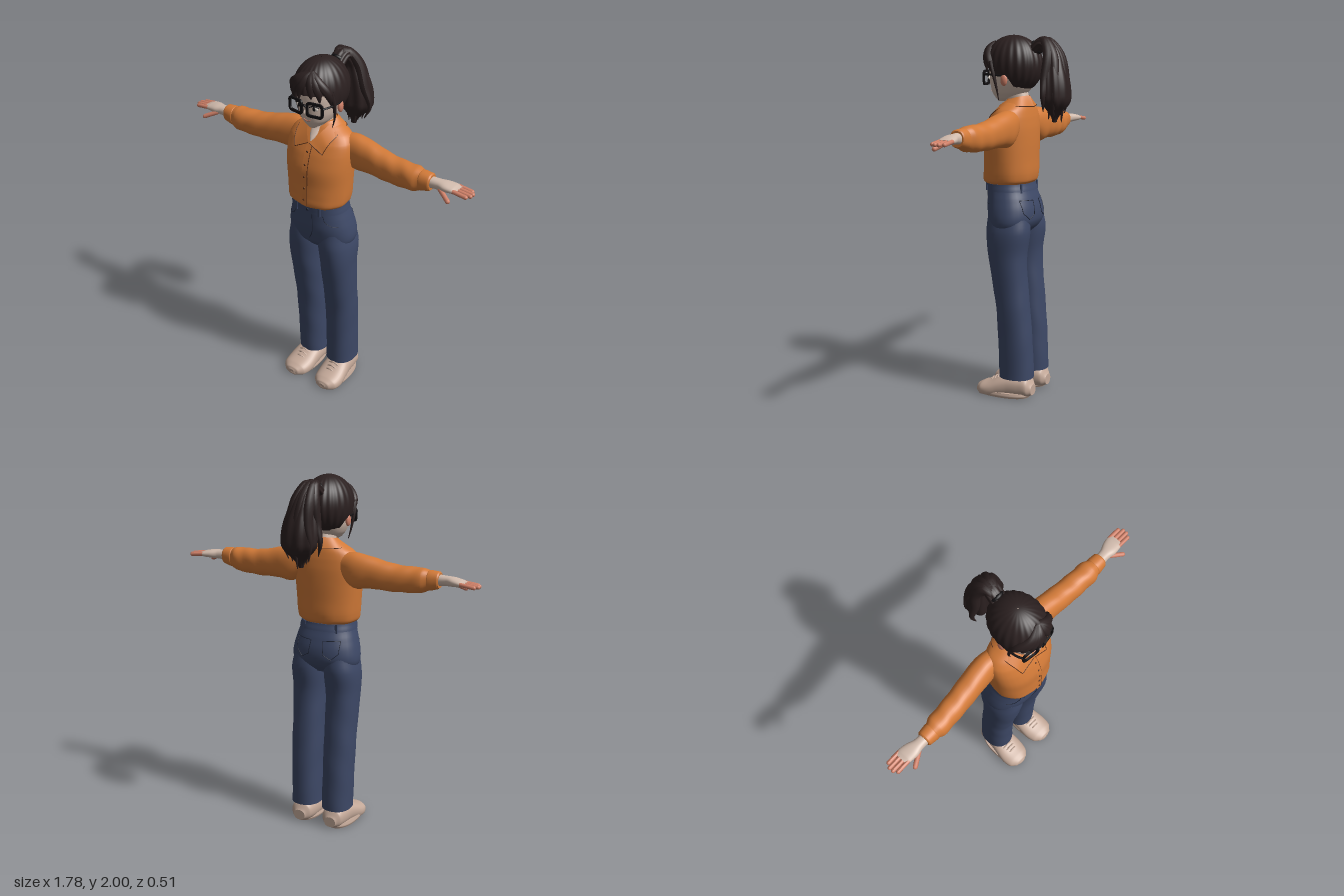
import * as THREE from 'three';
import { ParametricGeometry } from 'three/addons/geometries/ParametricGeometry.js';

const V = (x, y, z) => new THREE.Vector3(x, y, z);
const N = 2.25; // roundness of the cross-sections

// Smoothly interpolated cross-section [t, c1, c2, r1, r2] at position t
function at(rows, t) {
  let i = 0;
  while (i < rows.length - 2 && t > rows[i + 1][0]) i++;
  const b = rows[i], c = rows[i + 1], a = rows[i - 1] || b, d = rows[i + 2] || c;
  const s = (t - b[0]) / (c[0] - b[0]);
  return b.map((p, k) => k === 0 ? t : 0.5 * (2 * p + (c[k] - a[k]) * s
    + (2 * a[k] - 5 * p + 4 * c[k] - d[k]) * s * s + (3 * p - a[k] - 3 * c[k] + d[k]) * s ** 3));
}

// Closed body lofted along an axis through superellipse sections
function loft(rows, axis = 'y', fold = () => 0, seg = 36, sub = 5) {
  const pos = [], idx = [], steps = (rows.length - 1) * sub;
  const put = (t, p, q) => pos.push(...(axis === 'y' ? [p, t, q] : axis === 'x' ? [t, q, p] : [q, p, t]));
  const sp = v => Math.sign(v) * Math.abs(v) ** (2 / N);
  const ring = (r, i) => {
    for (let j = 0; j < seg; j++) {
      const a = j / seg * Math.PI * 2, f = 1 + fold(r[0], a);
      put(r[0], r[1] + r[3] * f * sp(Math.cos(a)), r[2] + r[4] * f * sp(Math.sin(a)));
    }
  };
  for (let i = 0; i <= steps; i++) {
    const k = Math.min(Math.floor(i / sub), rows.length - 2), s = i / sub - k;
    ring(at(rows, rows[k][0] + (rows[k + 1][0] - rows[k][0]) * s));
    if (i < steps) for (let j = 0; j < seg; j++) {
      const a = i * seg + j, b = i * seg + (j + 1) % seg;
      idx.push(a, a + seg, b, b, a + seg, b + seg);
    }
  }
  for (const end of [0, 1]) {
    const r = rows[end ? rows.length - 1 : 0], base = pos.length / 3;
    ring(r);
    put(r[0], r[1], r[2]);
    for (let j = 0; j < seg; j++) {
      const a = base + j, b = base + (j + 1) % seg;
      idx.push(...(end ? [a, base + seg, b] : [a, b, base + seg]));
    }
  }
  const g = new THREE.BufferGeometry();
  g.setAttribute('position', new THREE.Float32BufferAttribute(pos, 3));
  g.setIndex(idx);
  g.computeVertexNormals();
  return g;
}

// Point on the front (1) or back (-1) of a vertical loft
function on(rows, x, y, side = 1, lift = 0) {
  const [, cx, cz, rx, rz] = at(rows, y);
  const k = Math.max(0, 1 - Math.abs((x - cx) / rx) ** N) ** (1 / N);
  return V(x, y, cz + side * (rz * k + lift));
}
const curve = pts => new THREE.CatmullRomCurve3(pts);
const tube = (pts, r, n = 24) => new THREE.TubeGeometry(curve(pts), n, r, 6);

// Lock of hair: a tube whose radius follows a rule, optionally widened in x
function lock(pts, radius, wide = 1, ripple = 0, n = 24, m = 10) {
  const c = curve(pts), g = new THREE.TubeGeometry(c, n, 1, m), p = g.attributes.position;
  for (let i = 0; i <= n; i++) {
    const o = c.getPointAt(i / n);
    for (let j = 0; j <= m; j++) {
      const k = i * (m + 1) + j, v = V().fromBufferAttribute(p, k).sub(o);
      v.multiplyScalar(radius(i / n) * (1 + ripple * Math.cos(j / m * Math.PI * 2 * 9)));
      p.setXYZ(k, o.x + v.x * wide, o.y + v.y, o.z + v.z);
    }
  }
  g.computeVertexNormals();
  return g;
}
// Thin cloth band between two edge curves
function strip(a, b, n = 24) {
  const A = curve(a), B = curve(b);
  return new ParametricGeometry((u, v, o) => o.copy(A.getPoint(u)).lerp(B.getPoint(u), v), n, 2);
}
function ball(x, y, z, a, b, c) {
  return new THREE.SphereGeometry(1, 20, 14).scale(a, b, c).translate(x, y, z);
}
function finger(a, b, r) {
  const d = b.clone().sub(a), g = new THREE.CapsuleGeometry(r, d.length(), 5, 10);
  g.applyQuaternion(new THREE.Quaternion().setFromUnitVectors(V(0, 1, 0), d.normalize()));
  return g.translate((a.x + b.x) / 2, (a.y + b.y) / 2, (a.z + b.z) / 2);
}
function mirrored(geo) {
  const g = geo.clone().scale(-1, 1, 1);
  const ix = g.index ? [...g.index.array] : [...Array(g.attributes.position.count).keys()];
  for (let i = 0; i < ix.length; i += 3) [ix[i], ix[i + 1]] = [ix[i + 1], ix[i]];
  g.setIndex(ix);
  g.computeVertexNormals();
  return g;
}

export function createModel() {
  const model = new THREE.Group(), M = {};
  const colours = { skin: 0xd0baac, blush: 0xcf8068, shirt: 0xd27a38, shirtSeam: 0x5a3018, denim: 0x3d4866,
    denimSeam: 0x1d2333, hair: 0x2b2020, black: 0x121012, shoe: 0xc4a999, eyeWhite: 0xeee4da };
  for (const [name, color] of Object.entries(colours)) {
    M[name] = new THREE.MeshStandardMaterial({ color, side: THREE.DoubleSide });
    M[name].name = name;
  }
  const add = (name, geo, mat) => {
    const m = new THREE.Mesh(geo, M[mat]);
    m.name = name;
    model.add(m);
  };
  const both = (name, geo, mat) => {
    add(name + 'Left', geo, mat);
    add(name + 'Right', mirrored(geo), mat);
  };

  // Trousers
  const hips = [[0.92, 0, 0.08, 0.14, 0.08], [0.96, 0, 0.078, 0.186, 0.116], [1.0, 0, 0.075, 0.197, 0.132],
    [1.06, 0, 0.081, 0.189, 0.137], [1.12, 0, 0.09, 0.173, 0.13], [1.17, 0, 0.1, 0.158, 0.122], [1.2, 0, 0.105, 0.152, 0.118]];
  add('hips', loft(hips), 'denim');
  both('trouserLeg', loft([[0.11, 0.097, 0.028, 0.085, 0.097], [0.3, 0.1, 0.033, 0.085, 0.096], [0.5, 0.102, 0.045, 0.088, 0.093],
    [0.65, 0.103, 0.063, 0.089, 0.098], [0.8, 0.104, 0.078, 0.093, 0.107], [0.93, 0.1, 0.076, 0.097, 0.124],
    [1.03, 0.09, 0.078, 0.09, 0.115]], 'y', (t, a) => 0.008 * Math.sin(t * 30 + 2 * a)), 'denim');
  add('waistband', loft([[1.16, 0, 0.098, 0.164, 0.128], [1.2, 0, 0.105, 0.157, 0.123]]), 'denim');
  const seamOn = (rows, pts, side, r = 0.0018) => tube(pts.map(([x, y]) => on(rows, x, y, side, 0.001)), r);
  add('flySeam', seamOn(hips, [[0.03, 1.155], [0.03, 1.08], [0.022, 1.03], [0.001, 0.99]], 1), 'denimSeam');
  both('frontPocketSeam', seamOn(hips, [[0.09, 1.155], [0.1, 1.12], [0.13, 1.095], [0.16, 1.09]], 1), 'denimSeam');
  const pocket = [[0.035, 1.11], [0.13, 1.115], [0.128, 1.045], [0.088, 1.01], [0.045, 1.035], [0.035, 1.11]];
  pocket.slice(1).forEach((p, i) => {
    const q = pocket[i], mid = [(p[0] + q[0]) / 2, (p[1] + q[1]) / 2];
    both('backPocketSeam', seamOn(hips, [q, mid, p], -1), 'denimSeam');
  });
  for (const [x, side] of [[0.075, 1], [0.1, -1]]) {
    const p = on(hips, x, 1.178, side, 0.008);
    both('beltLoop', new THREE.BoxGeometry(0.014, 0.05, 0.008).translate(p.x, p.y, p.z), 'denim');
  }
  add('waistButton', ball(0.005, 1.18, 0.228, 0.008, 0.008, 0.005), 'denimSeam');

  // Shoes
  const shoe = loft([[-0.075, 0.045, 0.1, 0.03, 0.035], [-0.05, 0.06, 0.1, 0.055, 0.06], [0, 0.06, 0.1, 0.065, 0.068],
    [0.06, 0.06, 0.102, 0.066, 0.074], [0.11, 0.05, 0.106, 0.06, 0.08], [0.17, 0.03, 0.11, 0.053, 0.084],
    [0.22, 0.025, 0.112, 0.042, 0.074], [0.25, 0.025, 0.112, 0.026, 0.045], [0.258, 0.025, 0.112, 0.012, 0.02]], 'z');
  const sp = shoe.attributes.position;
  for (let i = 0; i < sp.count; i++) sp.setY(i, Math.max(sp.getY(i), 0.004));
  shoe.computeVertexNormals();
  both('shoe', shoe, 'shoe');
  both('sole', loft([[0, 0.108, 0.093, 0.08, 0.16], [0.012, 0.108, 0.093, 0.086, 0.167], [0.028, 0.108, 0.093, 0.083, 0.164]], 'y', (t, a) => -0.05 * (1 - Math.sin(a))), 'shoe');
  for (let i = 0; i < 3; i++) {
    const z = 0.125 + i * 0.02, y = 0.112 - i * 0.012;
    both('lace', tube([V(0.07, y - 0.018, z), V(0.107, y, z + 0.004), V(0.145, y - 0.018, z)], 0.005), 'shoe');
  }

  // Shirt
  const torso = [[1.193, 0, 0.108, 0.148, 0.118], [1.215, 0, 0.108, 0.17, 0.137], [1.26, 0, 0.104, 0.178, 0.14],
    [1.33, 0, 0.102, 0.184, 0.138], [1.42, 0, 0.1, 0.191, 0.137], [1.5, 0, 0.09, 0.194, 0.125], [1.56, 0, 0.08, 0.187, 0.108],
    [1.6, 0, 0.07, 0.16, 0.09], [1.635, 0, 0.062, 0.105, 0.072], [1.66, 0, 0.06, 0.068, 0.055]];
  add('shirtBody', loft(torso, 'y', (t, a) => 0.012 * Math.sin(a * 9) * Math.max(0, 1 - (t - 1.2) / 0.12)), 'shirt');
  both('sleeve', loft([[0.1, 0.05, 1.53, 0.055, 0.065], [0.19, 0.042, 1.507, 0.064, 0.096], [0.28, 0.048, 1.502, 0.064, 0.085],
    [0.4, 0.058, 1.487, 0.062, 0.074], [0.5, 0.066, 1.485, 0.06, 0.069], [0.57, 0.071, 1.488, 0.058, 0.066],
    [0.61, 0.073, 1.491, 0.044, 0.05]], 'x', (t, a) => 0.035 * Math.sin(t * 60 + 2 * a) * Math.max(0, t - 0.15) * 2), 'shirt');
  both('cuff', loft([[0.598, 0.073, 1.492, 0.042, 0.05], [0.606, 0.073, 1.492, 0.047, 0.054], [0.656, 0.074, 1.497, 0.042, 0.046],
    [0.663, 0.074, 1.497, 0.037, 0.04]], 'x'), 'shirt');
  const ys = [1.215, 1.28, 1.35, 1.42, 1.5, 1.56];
  const edge = (x, lift) => ys.map(y => on(torso, x, y, 1, lift));
  add('placket', strip(edge(-0.016, 0.006), edge(0.016, 0.006)), 'shirt');
  add('placketSeam', tube(edge(0.017, 0.004), 0.002), 'shirtSeam');
  for (let i = 0; i < 5; i++) {
    const p = on(torso, 0, 1.25 + i * 0.067, 1, 0.008);
    add('button', ball(p.x, p.y, p.z, 0.006, 0.006, 0.003), 'shirtSeam');
  }
  const collarTop = [V(0.004, 1.565, 0.202), V(0.045, 1.62, 0.155), V(0.066, 1.657, 0.085), V(0.06, 1.672, 0.03), V(0, 1.677, -0.008)];
  const collarEdge = [V(0.088, 1.522, 0.207), V(0.105, 1.57, 0.178), V(0.122, 1.612, 0.11), V(0.1, 1.622, 0.005), V(0, 1.617, -0.034)];
  both('collar', strip(collarTop, collarEdge), 'shirt');
  both('collarSeam', tube(collarEdge, 0.002), 'shirtSeam');
  both('collarFrontSeam', tube([collarTop[0], collarTop[0].clone().lerp(collarEdge[0], 0.5), collarEdge[0]], 0.002), 'shirtSeam');

  // Hands
  both('palm', loft([[0.64, 0.074, 1.498, 0.03, 0.03], [0.7, 0.072, 1.5, 0.031, 0.026], [0.74, 0.068, 1.5, 0.042, 0.024],
    [0.785, 0.062, 1.498, 0.044, 0.018], [0.81, 0.062, 1.497, 0.038, 0.01]], 'x'), 'skin');
  [[0.028, 0.862], [0.05, 0.877], [0.072, 0.876], [0.094, 0.862]].forEach(([z, x]) =>
    both('finger', finger(V(0.79, 1.498, z), V(x, 1.49, z), 0.011), 'blush'));
  both('thumb', finger(V(0.72, 1.488, 0.095), V(0.785, 1.458, 0.13), 0.0125), 'blush');

  // Neck, head and face
  add('neck', loft([[1.57, 0, 0.1, 0.018, 0.088], [1.6, 0, 0.085, 0.043, 0.083], [1.64, 0, 0.065, 0.052, 0.07],
    [1.71, 0, 0.07, 0.05, 0.055]]), 'skin');
  const head = [[1.643, 0, 0.16, 0.02, 0.022], [1.66, 0, 0.137, 0.05, 0.056], [1.69, 0, 0.112, 0.079, 0.098],
    [1.73, 0, 0.1, 0.098, 0.118], [1.78, 0, 0.092, 0.108, 0.13], [1.83, 0, 0.09, 0.111, 0.133],
    [1.9, 0, 0.09, 0.1, 0.12], [1.96, 0, 0.09, 0.05, 0.06]];
  add('head', loft(head), 'skin');
  add('nose', ball(0, 1.745, 0.218, 0.013, 0.016, 0.02), 'skin');
  add('mouth', tube([[-0.024, 1.702], [0, 1.695], [0.024, 1.702]].map(([x, y]) => on(head, x, y, 1, 0.001)), 0.003), 'blush');
  both('ear', ball(0.12, 1.762, 0.09, 0.013, 0.032, 0.02), 'blush');
  const e = on(head, 0.046, 1.772, 1);
  both('eyeWhite', ball(e.x, e.y, e.z - 0.002, 0.022, 0.013, 0.006), 'eyeWhite');
  both('iris', ball(e.x, e.y, e.z + 0.001, 0.01, 0.012, 0.006), 'black');
  both('eyelid', tube([V(0.02, 1.778, e.z + 0.008), V(0.046, 1.788, e.z + 0.004), V(0.072, 1.78, e.z - 0.006)], 0.003), 'black');

  // Glasses
  const rim = (w, h, r) => new THREE.Shape().moveTo(-w + r, -h).lineTo(w - r, -h).quadraticCurveTo(w, -h, w, -h + r).lineTo(w, h - r)
    .quadraticCurveTo(w, h, w - r, h).lineTo(-w + r, h).quadraticCurveTo(-w, h, -w, h - r).lineTo(-w, -h + r).quadraticCurveTo(-w, -h, -w + r, -h);
  const frame = rim(0.049, 0.041, 0.024);
  frame.holes.push(rim(0.037, 0.028, 0.018));
  both('glassesRim', new THREE.ExtrudeGeometry(frame, { depth: 0.01, bevelEnabled: false }).rotateY(0.16).translate(0.058, 1.772, 0.222), 'black');
  add('glassesBridge', tube([V(-0.014, 1.785, 0.236), V(0, 1.79, 0.238), V(0.014, 1.785, 0.236)], 0.006), 'black');
  both('glassesTemple', tube([V(0.105, 1.79, 0.222), V(0.119, 1.79, 0.18), V(0.122, 1.785, 0.09)], 0.006), 'black');

  // Hair cap with a hairline that is high in front and low at the nape
  const S = THREE.MathUtils.smoothstep;
  add('hairCap', new ParametricGeometry((u, v, o) => {
    const th = (u * 2 - 1) * Math.PI, d = Math.abs(th) / Math.PI;
    const low = 1.85 - 0.06 * S(d, 0.25, 0.42) - 0.075 * S(d, 0.5, 0.65);
    const p = (0.01 + 0.99 * v) * Math.acos((low - 1.84) / 0.16), k = Math.sin(p) * (1 + 0.014 * Math.sin(th * 22) * Math.sin(p));
    o.set(0.135 * k * Math.sin(th), 1.84 + 0.16 * Math.cos(p), 0.088 + 0.163 * k * Math.cos(th));
  }, 144, 24), 'hair');
  // Fringe swept from a parting, and side locks
  const scalp = (x, y) => V(x, y, 0.083 + 0.163 * Math.sqrt(Math.max(0.05, 1 - (x / 0.135) ** 2 - ((y - 1.84) / 0.16) ** 2)));
  for (const [x, y] of [[-0.115, 1.77], [-0.09, 1.8], [-0.06, 1.815], [-0.025, 1.825], [0.045, 1.835], [0.08, 1.815], [0.112, 1.775]])
    add('fringeLock', lock([scalp(0.02, 1.955), scalp(0.02 + (x - 0.02) * 0.5, 1.915), scalp(x * 0.95, 1.86), scalp(x, y)],
      t => 0.003 + 0.022 * Math.sin(Math.PI * (0.2 + 0.78 * t)), 1), 'hair');
  both('sideLock', lock([V(0.116, 1.86, 0.17), V(0.123, 1.79, 0.15), V(0.115, 1.71, 0.135), V(0.1, 1.655, 0.132)],
    t => 0.002 + 0.013 * (1 - t)), 'hair');

  // Ponytail: a full core with loose locks fanned over it
  add('ponytail', lock([V(0, 1.915, -0.03), V(0.005, 1.955, -0.09), V(0.012, 1.9, -0.145), V(0.025, 1.8, -0.165), V(0.03, 1.68, -0.175), V(0.025, 1.54, -0.165)],
    t => 0.004 + (0.03 + 0.042 * S(t, 0.1, 0.7)) * (1 - S(t, 0.75, 1) * 0.9), 1.3, 0.05, 40, 54), 'hair');
  for (let i = 0; i < 9; i++) {
    const k = i / 4 - 1, z = 0.035 * Math.cos(i * 2.4);
    add('ponytailLock', lock([V(0.01 * k, 1.93, -0.04), V(0.02 * k, 1.97, -0.095), V(0.01 + 0.05 * k, 1.9, -0.155 + z * 0.4),
      V(0.025 + 0.08 * k, 1.77, -0.175 + z), V(0.03 + 0.108 * k, 1.67, -0.18 + z), V(0.025 + 0.085 * k, 1.54 + 0.06 * Math.abs(k), -0.17 + z)],
    t => 0.002 + 0.027 * Math.sin(Math.PI * (0.2 + 0.8 * t))), 'hair');
  }
  add('hairTie', new THREE.TorusGeometry(0.03, 0.011, 8, 24).rotateX(0.6).translate(0, 1.935, -0.05), 'black');
  return model;
}
